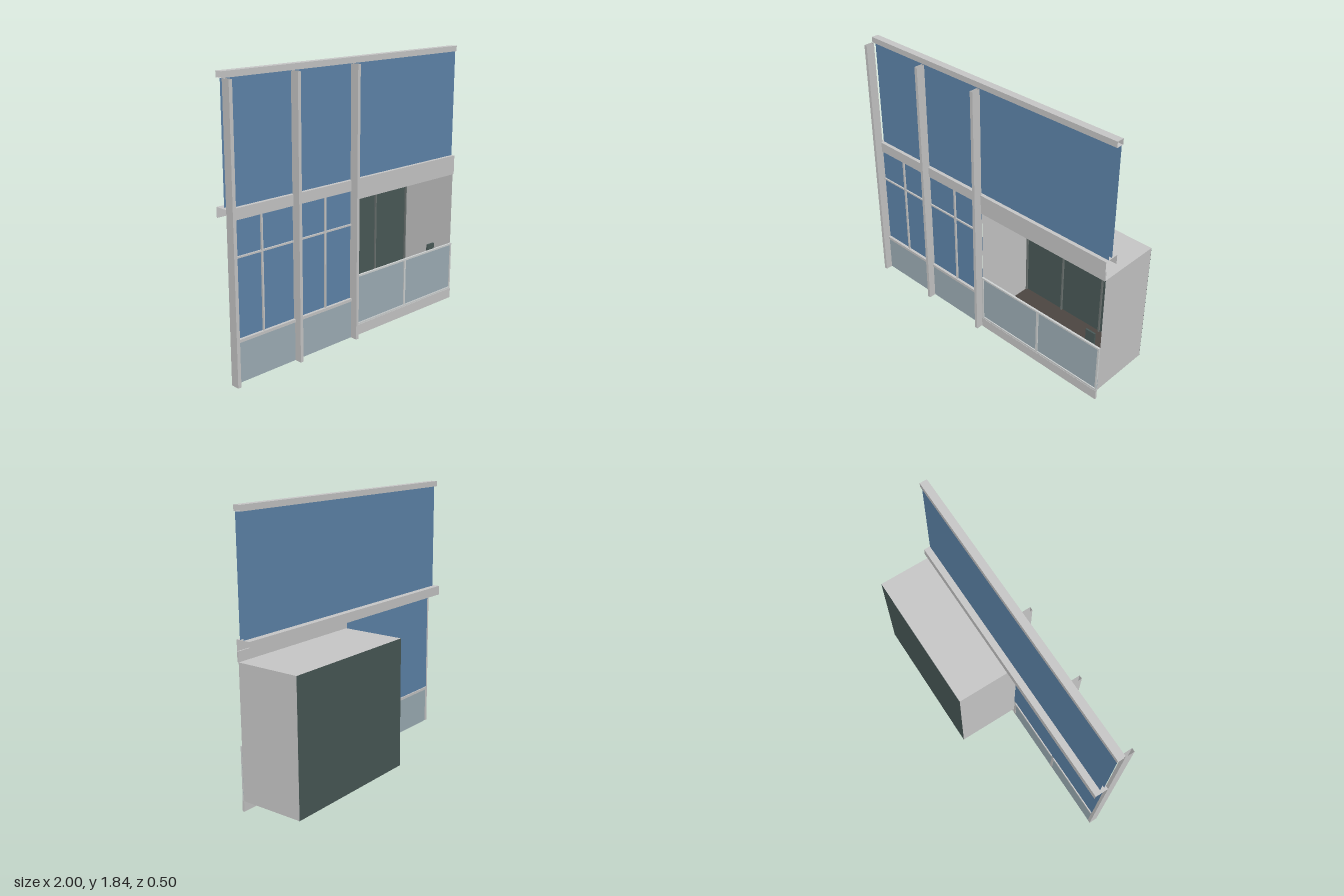
import * as THREE from 'three';

const mat = (name, color) => {
  const m = new THREE.MeshStandardMaterial({ color, side: THREE.DoubleSide });
  m.name = name;
  return m;
};

export function createModel() {
  const model = new THREE.Group();
  model.name = 'shopFacade';
  const grey = mat('light grey metal', 0xc8c8c8);
  const blue = mat('blue glass', 0x5f86ac);
  const panel = mat('pale blue panel', 0x9fb0b8);
  const green = mat('dark green glass', 0x4a5a58);
  const frame = mat('window frame grey', 0x6c7472);
  const trim = mat('pale trim', 0xd0d3d3);
  const brown = mat('dark floor', 0x4c4642);

  // Solid box given by its limits
  function box(name, m, x0, x1, y0, y1, z0, z1, parent = model) {
    const g = new THREE.BoxGeometry(x1 - x0, y1 - y0, z1 - z0);
    g.translate((x0 + x1) / 2, (y0 + y1) / 2, (z0 + z1) / 2);
    const mesh = new THREE.Mesh(g, m);
    mesh.name = name;
    parent.add(mesh);
    return mesh;
  }

  // Flat sheet through a corner, spanned by two edge vectors
  function sheet(name, m, p, u, v, parent = model) {
    const a = new THREE.Vector3(...p), U = new THREE.Vector3(...u), V = new THREE.Vector3(...v);
    const b = a.clone().add(U), c = b.clone().add(V), d = a.clone().add(V);
    const g = new THREE.BufferGeometry().setFromPoints([a, b, c, d]);
    g.setIndex([0, 1, 2, 0, 2, 3]);
    g.computeVertexNormals();
    const mesh = new THREE.Mesh(g, m);
    mesh.name = name;
    parent.add(mesh);
    return mesh;
  }

  const upright = (name, m, x0, x1, y0, y1, z, parent) =>
    sheet(name, m, [x0, y0, z], [x1 - x0, 0, 0], [0, y1 - y0, 0], parent);

  // Hollow columns, open at both ends
  for (const [x0, x1] of [[-1, -0.977], [-0.512, -0.49], [-0.026, -0.004]]) {
    const column = new THREE.Group();
    column.name = 'column';
    model.add(column);
    upright('columnFront', grey, x0, x1, 0, 1.8, 0.25, column);
    upright('columnBack', grey, x0, x1, 0, 1.8, 0.19, column);
    for (const x of [x0, x1])
      sheet('columnSide', grey, [x, 0, 0.25], [0, 0, -0.06], [0, 1.8, 0], column);
  }

  // Top rail, open at the ends
  const rail = new THREE.Group();
  rail.name = 'topRail';
  model.add(rail);
  for (const z of [0.135, 0.185]) upright('railFace', grey, -1, 1, 1.8, 1.837, z, rail);
  for (const y of [1.8, 1.837])
    sheet('railFlange', grey, [-1, y, 0.185], [2, 0, 0], [0, 0, -0.05], rail);

  // Upper glazing in two panes
  for (const z of [0.145, 0.175]) upright('upperGlass', blue, -0.98, 0.998, 1.07, 1.8, z);

  // Middle beam, an upside-down channel
  const beam = new THREE.Group();
  beam.name = 'middleBeam';
  model.add(beam);
  upright('beamFront', grey, -1, 1, 1, 1.07, 0.2, beam);
  sheet('beamTop', grey, [-1, 1.07, 0.2], [2, 0, 0], [0, 0, -0.1], beam);
  upright('beamBack', grey, -1, 1, 1.005, 1.07, 0.1, beam);
  box('fasciaDrop', grey, 0, 1, 0.935, 1.0, 0.19, 0.2, beam);

  // Left shopfront bays: glass, glazing bars, sill and lower panel
  for (const [x0, x1, bar] of [[-0.977, -0.512, -0.755], [-0.49, -0.026, -0.25]]) {
    const bay = new THREE.Group();
    bay.name = 'windowBay';
    model.add(bay);
    box('bayPanel', panel, x0, x1, 0, 0.258, 0.192, 0.2, bay);
    box('baySill', grey, x0, x1, 0.257, 0.276, 0.18, 0.207, bay);
    box('verticalBar', grey, bar - 0.006, bar + 0.006, 0.276, 1, 0.189, 0.2, bay);
    box('crossBar', grey, x0, x1, 0.772, 0.783, 0.189, 0.199, bay);
  }
  upright('lowerGlass', blue, -0.98, -0.004, 0.27, 1, 0.188);

  // Counter front
  const counter = new THREE.Group();
  counter.name = 'counter';
  model.add(counter);
  box('baseBoard', grey, 0, 1, 0, 0.07, 0.19, 0.205, counter);
  box('counterPanel', panel, 0, 1, 0.07, 0.415, 0.19, 0.196, counter);
  for (const [x0, x1] of [[0, 0.012], [0.49, 0.506], [0.988, 1]])
    box('counterStile', trim, x0, x1, 0.07, 0.42, 0.19, 0.202, counter);
  for (const [y0, y1] of [[0.07, 0.084], [0.408, 0.42]])
    box('counterRail', trim, 0, 1, y0, y1, 0.189, 0.203, counter);

  // Room behind the counter, open to the front
  const room = new THREE.Group();
  room.name = 'room';
  model.add(room);
  for (const x of [0, 1])
    sheet('roomSide', grey, [x, 0.07, 0.19], [0, 0, -0.439], [0, 0.865, 0], room);
  sheet('roomTop', grey, [0, 0.935, 0.19], [1, 0, 0], [0, 0, -0.44], room);
  sheet('roomFloor', brown, [0, 0.071, 0.19], [1, 0, 0], [0, 0, -0.44], room);
  upright('roomBack', green, 0, 1, 0.07, 0.935, -0.25, room);
  sheet('floorPlate', frame, [0.13, 0.069, 0.0], [0.2, 0, 0], [0, 0, -0.13], room);

  // Frame on the back window
  for (const [x0, x1] of [[0.001, 0.011], [0.328, 0.338], [0.661, 0.671], [0.989, 0.999]])
    box('backStile', frame, x0, x1, 0.072, 0.934, -0.248, -0.236, room);
  box('backHead', frame, 0.001, 0.999, 0.924, 0.934, -0.248, -0.236, room);

  // Small chair just behind the counter
  const chair = new THREE.Group();
  chair.name = 'chair';
  model.add(chair);
  box('chairSeat', green, 0.82, 0.91, 0.24, 0.26, 0.06, 0.16, chair);
  box('chairBack', green, 0.83, 0.9, 0.26, 0.425, 0.11, 0.122, chair);
  for (const x of [0.825, 0.895])
    for (const z of [0.065, 0.145])
      box('chairLeg', green, x, x + 0.01, 0.072, 0.24, z, z + 0.01, chair);

  return model;
}
